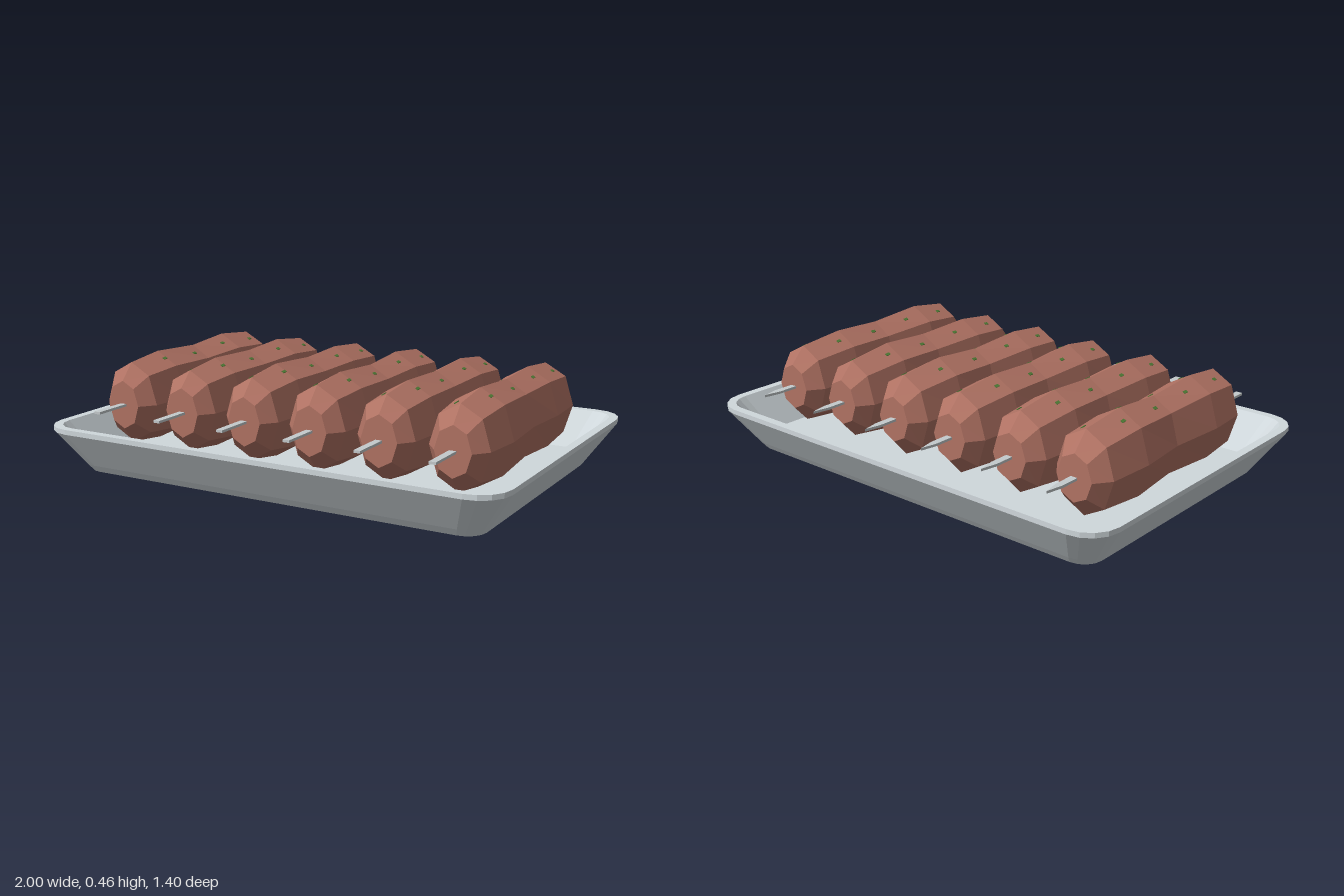
import * as THREE from 'three';

const material = (color, extra = {}) => new THREE.MeshStandardMaterial({ color, flatShading: true, ...extra });

// Joins closed rings of points into a faceted skin, with a fan at both ends.
function loft(rings) {
  const pos = [];
  const tri = (a, b, c) => {
    for (const p of [a, b, c]) pos.push(p.x, p.y, p.z);
  };
  const n = rings[0].length;
  const centre = (ring) => ring.reduce((s, p) => s.add(p), new THREE.Vector3()).divideScalar(n);
  const first = rings[0], last = rings[rings.length - 1];
  const c0 = centre(first), c1 = centre(last);
  for (let i = 0; i < n; i++) {
    const j = (i + 1) % n;
    tri(c0, first[i], first[j]);
    tri(c1, last[j], last[i]);
    for (let k = 0; k + 1 < rings.length; k++) {
      const a = rings[k], b = rings[k + 1];
      tri(a[i], b[i], a[j]);
      tri(a[j], b[i], b[j]);
    }
  }
  const g = new THREE.BufferGeometry();
  g.setAttribute('position', new THREE.Float32BufferAttribute(pos, 3));
  g.computeVertexNormals();
  return g;
}

// Horizontal rounded rectangle
function roundedRing(hx, hz, r, y, seg = 4) {
  const pts = [];
  [[1, 1], [-1, 1], [-1, -1], [1, -1]].forEach(([sx, sz], q) => {
    for (let i = 0; i <= seg; i++) {
      const a = (q + i / seg) * Math.PI / 2;
      pts.push(new THREE.Vector3(sx * (hx - r) + r * Math.cos(a), y, sz * (hz - r) + r * Math.sin(a)));
    }
  });
  return pts;
}

// Meat cross-sections: z, half width, half height
const MEAT_Y = 0.27;
const SECTIONS = [
  [0.485, 0.075, 0.1], [0.425, 0.122, 0.165], [0.25, 0.136, 0.187], [0, 0.118, 0.174],
  [-0.22, 0.136, 0.187], [-0.42, 0.124, 0.165], [-0.485, 0.078, 0.095],
];

function meatGeometry(index) {
  return loft(SECTIONS.map(([z, rx, ry], k) => {
    const wobble = 1 + 0.015 * Math.sin(index * 2.1 + k * 1.7);
    return Array.from({ length: 8 }, (_, i) => {
      const a = i * Math.PI / 4;
      return new THREE.Vector3(rx * wobble * Math.cos(a), MEAT_Y + ry * wobble * Math.sin(a), z);
    });
  }));
}

// Flat blade with a pointed far end
function skewerGeometry() {
  const s = new THREE.Shape();
  s.moveTo(-0.014, -0.65);
  s.lineTo(0.014, -0.65);
  s.lineTo(0.014, 0.57);
  s.lineTo(0, 0.64);
  s.lineTo(-0.014, 0.57);
  s.closePath();
  const g = new THREE.ExtrudeGeometry(s, { depth: 0.01, bevelEnabled: false });
  g.rotateX(-Math.PI / 2);
  g.translate(0, MEAT_Y - 0.005, 0);
  return g;
}

export function createModel() {
  const model = new THREE.Group();
  const add = (parent, geometry, mat, name) => {
    const m = new THREE.Mesh(geometry, mat);
    m.name = name;
    parent.add(m);
    return m;
  };

  // Tray: underside, sloped wall, rim, inner wall and floor
  const tray = loft([
    roundedRing(0.88, 0.58, 0.08, 0),
    roundedRing(0.9, 0.602, 0.09, 0.03),
    roundedRing(1, 0.7, 0.13, 0.175),
    roundedRing(1, 0.7, 0.13, 0.195),
    roundedRing(0.965, 0.665, 0.1, 0.195),
    roundedRing(0.87, 0.565, 0.06, 0.05),
  ]);
  add(model, tray, material(0xd0d8dc), 'tray');

  const meatMat = material(0xb07263);
  const steelMat = material(0xc4cacc);
  const herbMat = material(0x4f7a35);
  const skewerGeo = skewerGeometry();
  const herbGeo = new THREE.BoxGeometry(0.012, 0.006, 0.02);
  const herbSpots = [
    [0.048, -0.37], [-0.045, -0.26], [0.045, -0.16], [-0.045, -0.055],
    [0.045, 0.05], [-0.045, 0.15], [0.045, 0.26], [-0.045, 0.36],
  ];

  // Six kebabs side by side
  for (let i = 0; i < 6; i++) {
    const kebab = new THREE.Group();
    kebab.name = `kebab${i + 1}`;
    kebab.position.x = -0.74 + i * 0.295;
    const meat = add(kebab, meatGeometry(i), meatMat, 'meat');
    add(kebab, skewerGeo, steelMat, 'skewer');
    // Herb flecks rest on the meat surface
    meat.updateWorldMatrix(true, false);
    const ray = new THREE.Raycaster();
    for (const [x, z] of herbSpots) {
      ray.set(new THREE.Vector3(kebab.position.x + x, 1, z), new THREE.Vector3(0, -1, 0));
      const hit = ray.intersectObject(meat)[0];
      if (!hit) continue;
      const fleck = add(kebab, herbGeo, herbMat, 'herbFleck');
      fleck.position.set(x, hit.point.y, z);
      fleck.quaternion.setFromUnitVectors(new THREE.Vector3(0, 1, 0), hit.face.normal);
    }
    model.add(kebab);
  }
  return model;
}
